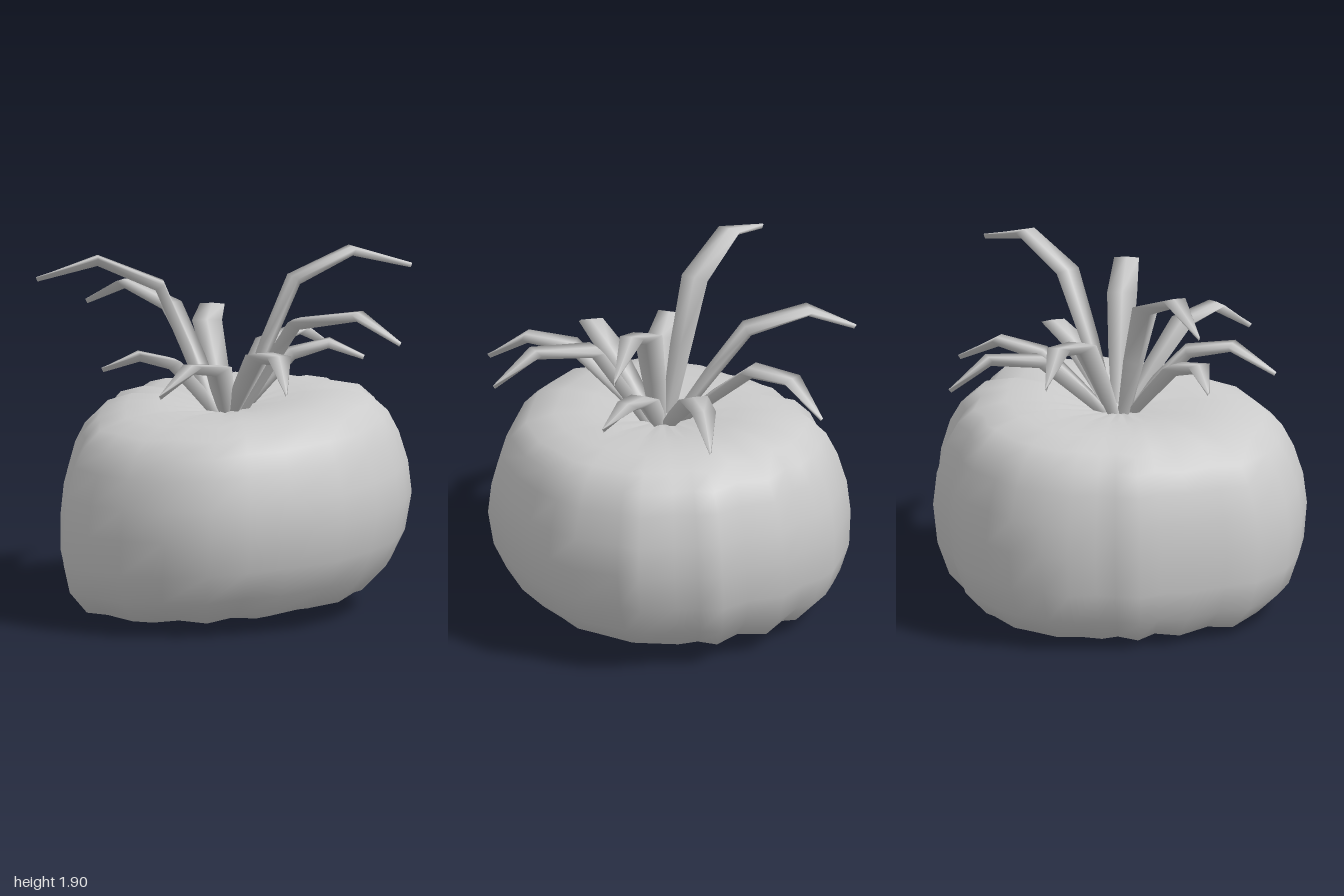
import * as THREE from 'three';

const V = (x, y, z) => new THREE.Vector3(x, y, z);

// Skin a stack of closed rings (counter-clockwise seen from the last ring).
function loft(rings) {
  const n = rings[0].length, index = [];
  for (let i = 0; i < rings.length - 1; i++) {
    for (let j = 0; j < n; j++) {
      const a = i * n + j, b = i * n + (j + 1) % n;
      index.push(a, b, b + n, a, b + n, a + n);
    }
  }
  const geometry = new THREE.BufferGeometry().setFromPoints(rings.flat());
  geometry.setIndex(index);
  geometry.computeVertexNormals();
  return geometry;
}

// Lumpy plan outline of the fruit at its widest, as [x, z]
const OUTLINE = [
  [0.07, -0.99], [-0.12, -0.95], [-0.24, -0.96], [-0.37, -0.93], [-0.53, -0.83],
  [-0.68, -0.74], [-0.75, -0.58], [-0.83, -0.45], [-0.83, -0.3], [-0.87, -0.2],
  [-0.9, -0.07], [-0.86, 0.05], [-0.86, 0.22], [-0.8, 0.42], [-0.77, 0.6],
  [-0.6, 0.8], [-0.4, 0.91], [-0.15, 0.99], [0.1, 0.97], [0.3, 0.88],
  [0.5, 0.75], [0.74, 0.56], [0.87, 0.3], [0.94, 0.06], [0.945, -0.1], [0.94, -0.28],
  [0.83, -0.5], [0.79, -0.62], [0.62, -0.72], [0.53, -0.81], [0.43, -0.89], [0.25, -0.9],
];

// Profile from bottom dimple to top dimple, as [scale of outline, y, rib height]
const PROFILE = [
  [0.001, 0.12, 0], [0.3, 0.075, 0.006], [0.6, 0.035, 0.01], [0.8, 0.08, 0.01],
  [0.92, 0.2, 0.005], [0.98, 0.36, 0], [1, 0.56, 0], [0.98, 0.73, 0], [0.93, 0.89, 0],
  [0.87, 1.0, 0.006], [0.78, 1.08, 0.01], [0.62, 1.125, 0.01], [0.42, 1.13, 0.008],
  [0.15, 1.09, 0.004], [0.001, 1.06, 0],
];

// Leaves: shoulder, peak and tip points of each arching blade
const LEAVES = [
  [[-0.33, 1.76, 0.08], [-0.67, 1.9, 0.16], [-0.99, 1.79, 0.23]],
  [[-0.36, 1.58, -0.27], [-0.65, 1.66, -0.46], [-0.88, 1.52, -0.58]],
  [[-0.2, 1.46, -0.45], [-0.23, 1.49, -0.75], [-0.24, 1.33, -0.97]],
  [[0.14, 1.38, -0.38], [0.28, 1.42, -0.6], [0.41, 1.29, -0.78]],
  [[0.31, 1.76, -0.21], [0.6, 1.9, -0.38], [0.89, 1.79, -0.54]],
  [[0.3, 1.37, -0.18], [0.5, 1.42, -0.25], [0.69, 1.34, -0.25]],
  [[0.38, 1.59, 0.1], [0.74, 1.66, 0.2], [0.99, 1.52, 0.27]],
  [[0.25, 1.46, 0.4], [0.4, 1.49, 0.62], [0.48, 1.33, 0.82]],
  [[0.02, 1.38, 0.37], [-0.07, 1.42, 0.6], [-0.21, 1.29, 0.81]],
  [[-0.24, 1.38, 0.24], [-0.41, 1.43, 0.35], [-0.61, 1.34, 0.36]],
];

// Four-sided blade: nearly flat on top, keeled below, narrow at the tip
function leafGeometry(points) {
  const [shoulder, peak, tip] = points.map((p) => V(...p));
  const out = V(shoulder.x, 0, shoulder.z).normalize();
  const base = out.clone().multiplyScalar(0.07).setY(1.07);
  const middle = base.clone().lerp(shoulder, 0.5).addScaledVector(out, -0.01);
  const path = [base, middle, shoulder, peak, tip];
  const halfWidth = [0.04, 0.065, 0.08, 0.066, 0.004];
  const keel = [0.04, 0.055, 0.06, 0.048, 0.022];
  const rings = path.map((p, i) => {
    const t = path[Math.min(i + 1, 4)].clone().sub(path[Math.max(i - 1, 0)]).normalize();
    const side = t.clone().cross(V(0, 1, 0)).normalize();
    const up = side.clone().cross(t);
    const w = halfWidth[i];
    return [[0, 0.004], [w, 0], [0, -keel[i]], [-w, 0]].map(([s, u]) =>
      p.clone().addScaledVector(side, s).addScaledVector(up, u));
  });
  return loft(rings);
}

export function createModel() {
  const group = new THREE.Group();
  const material = new THREE.MeshStandardMaterial({ color: 0xcccccc });

  // Fruit body with shallow ribs, its foot pushed aside and its top tilted
  const rings = PROFILE.map(([s, y, rib]) => OUTLINE.map(([x, z], j) => V(
    x * s + 0.12 * Math.min(0, y - 0.5),
    Math.max(0, y + 0.045 * x * s - 0.04 * z * s * y + (j % 2 ? rib : -rib)),
    z * s)));
  const body = new THREE.Mesh(loft(rings), material);
  body.name = 'fruitBody';
  group.add(body);

  // Crown of leaves
  const crown = new THREE.Group();
  crown.name = 'leafCrown';
  const leafMaterial = material.clone();
  leafMaterial.side = THREE.DoubleSide;
  LEAVES.forEach((points, i) => {
    const leaf = new THREE.Mesh(leafGeometry(points), leafMaterial);
    leaf.name = `leaf${i + 1}`;
    crown.add(leaf);
  });
  group.add(crown);
  return group;
}
